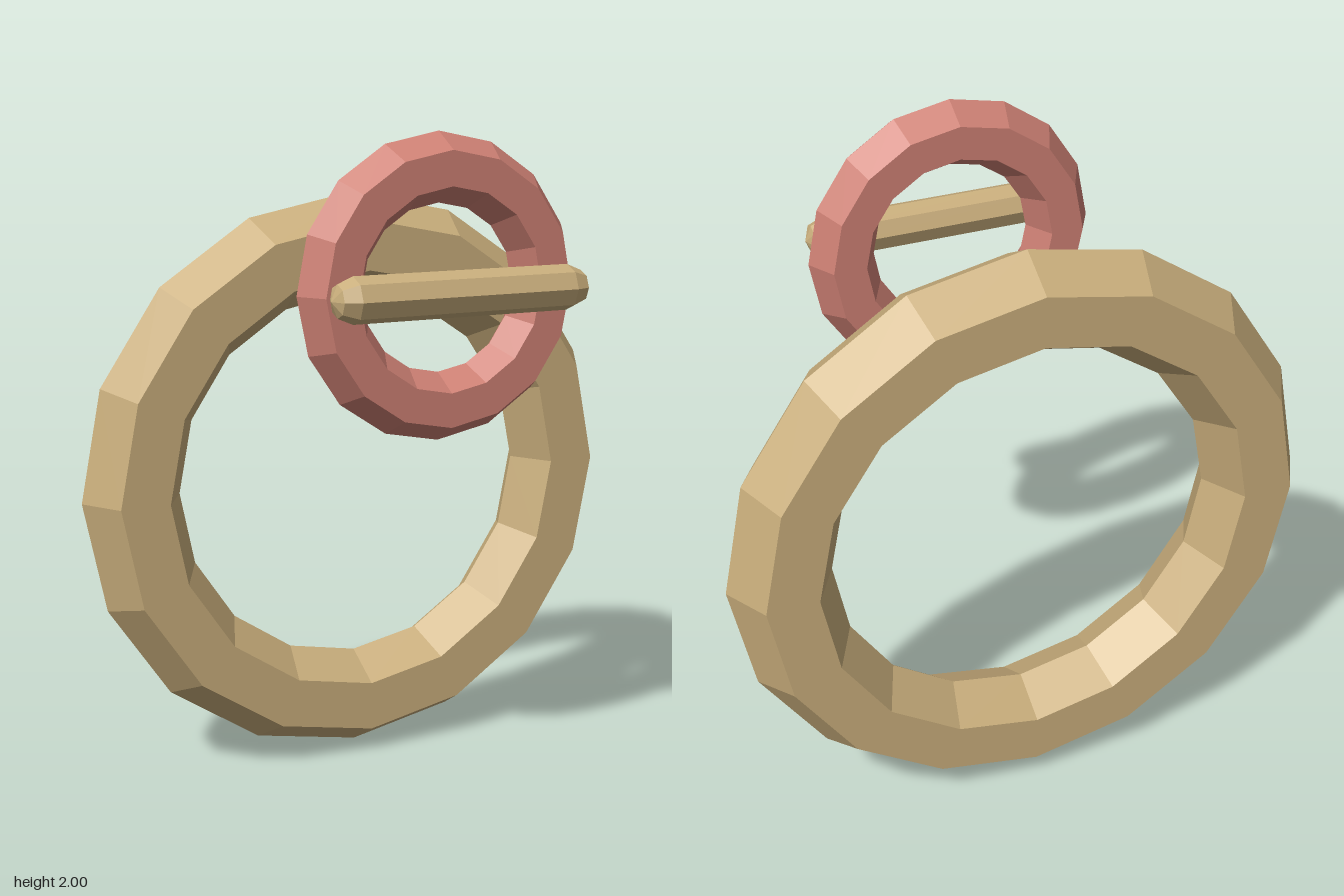
import * as THREE from 'three';

const tan = new THREE.MeshStandardMaterial({ color: 0xc9ae7c, flatShading: true });
const red = new THREE.MeshStandardMaterial({ color: 0xcd8074, flatShading: true });

function addPart(group, name, geometry, material, y, z) {
  const mesh = new THREE.Mesh(geometry, material);
  mesh.name = name;
  mesh.position.set(0, y, z);
  group.add(mesh);
  return mesh;
}

// Faceted ring with a hexagonal section, given by its outer and inner radius
function ring(outer, inner) {
  return new THREE.TorusGeometry((outer + inner) / 2, (outer - inner) / 2, 6, 16);
}

export function createModel() {
  const group = new THREE.Group();
  group.name = 'ringsAndBar';

  // Large ring at the back
  addPart(group, 'largeRing', ring(0.897, 0.588), tan, 0.9, -0.322);

  // Small ring in front of its upper edge
  addPart(group, 'smallRing', ring(0.442, 0.242), red, 1.558, 0.245);

  // Eight-sided rounded bar lying across the small ring
  const bar = new THREE.CapsuleGeometry(0.066, 0.68, 2, 8);
  bar.rotateZ(Math.PI / 2);
  addPart(group, 'crossBar', bar, tan, 1.558, 0.39);

  return group;
}
